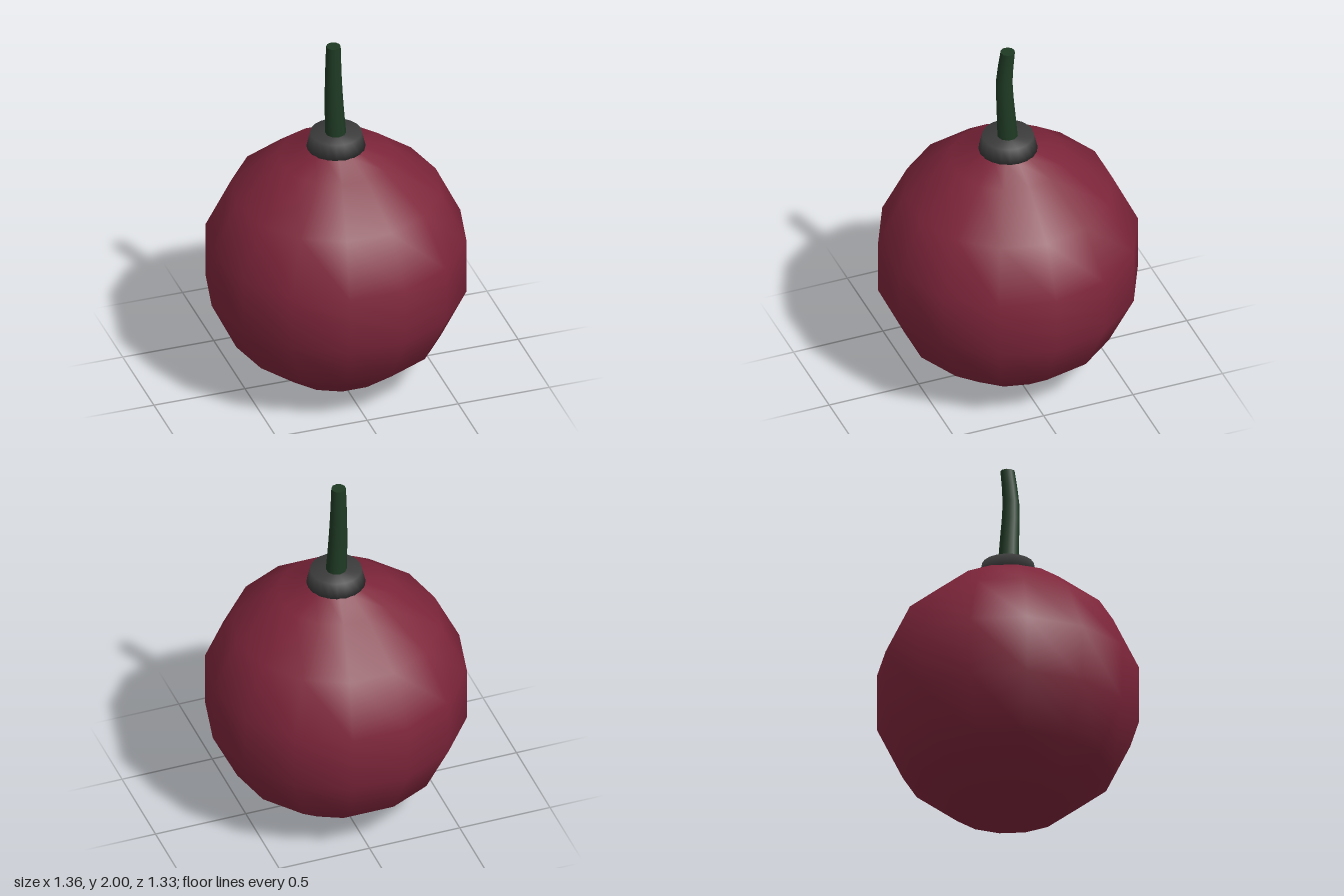
import * as THREE from 'three';

const lathe = (points, sides) =>
  new THREE.LatheGeometry(points.map(([r, y]) => new THREE.Vector2(r, y)), sides, Math.PI / 2);

export function createModel() {
  const red = new THREE.MeshStandardMaterial({ color: 0x7d253a });
  const grey = new THREE.MeshStandardMaterial({ color: 0x3c3c3c });
  const green = new THREE.MeshStandardMaterial({ color: 0x1f3a24 });
  red.name = 'deep red';
  grey.name = 'dark grey';
  green.name = 'dark green';

  const group = new THREE.Group();
  const add = (name, geometry, material) => {
    const mesh = new THREE.Mesh(geometry, material);
    mesh.name = name;
    group.add(mesh);
  };

  // Round body of seven bands, with a short neck tucked under the cap
  const radius = 0.7, centre = 0.705;
  const profile = [];
  for (let i = 0; i < 7; i++) {
    const a = (i * Math.PI) / 7;
    profile.push([radius * Math.sin(a), centre - radius * Math.cos(a)]);
  }
  profile.push([0.15, 1.395], [0.125, 1.46]);
  add('body', lathe(profile, 14), red);

  // Tapered cap with softly shaded edges
  add('cap', lathe([[0, 1.39], [0.155, 1.39], [0.135, 1.475], [0, 1.475]], 20), grey);

  // Tapered stem, its rings shifted along a gentle bend
  const bottom = 1.44, height = 2 - bottom;
  const stem = new THREE.CylinderGeometry(0.038, 0.056, height, 10, 6);
  stem.translate(0, height / 2, 0);
  const bend = new THREE.CatmullRomCurve3([
    new THREE.Vector3(0, 0, 0),
    new THREE.Vector3(-0.012, 0.33, 0.007),
    new THREE.Vector3(-0.019, 0.66, 0.013),
    new THREE.Vector3(-0.013, 1, -0.004),
  ]);
  const pos = stem.attributes.position;
  for (let i = 0; i < pos.count; i++) {
    const t = THREE.MathUtils.clamp(pos.getY(i) / height, 0, 1);
    const p = bend.getPoint(t);
    pos.setXYZ(i, pos.getX(i) + p.x, pos.getY(i) + bottom, pos.getZ(i) + p.z);
  }
  add('stem', stem, green);

  return group;
}
